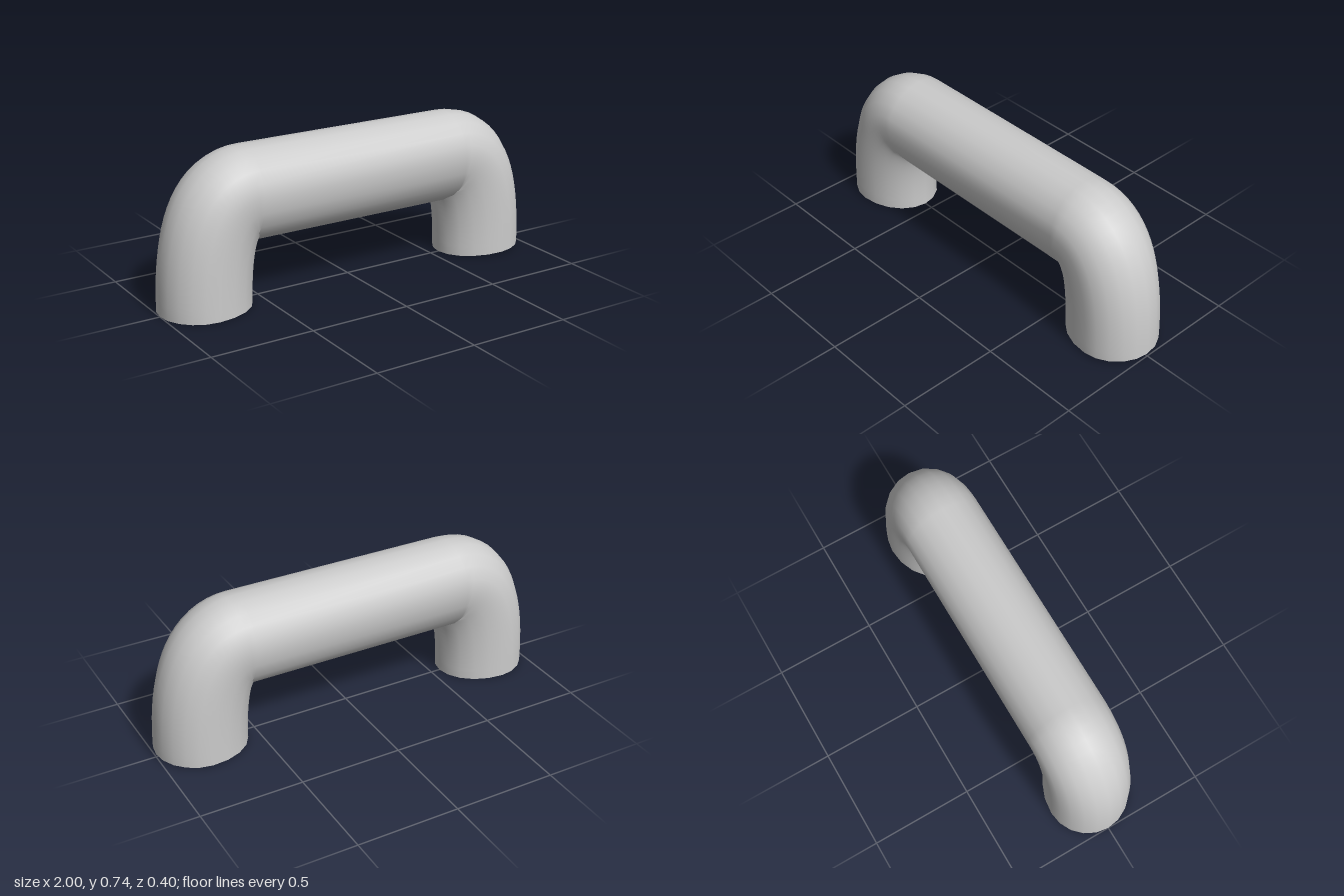
import * as THREE from 'three';

const SIDES = 20, STEPS = 18;
const HALF_WIDTH = 0.2, OUTER = 0.2, INNER = 0.252;

// Centre line: left-hand bend, straight bar, right-hand bend
function centreLine() {
  const v = (x, y) => new THREE.Vector2(x, y);
  const bends = [
    new THREE.QuadraticBezierCurve(v(-0.8, 0), v(-0.8, 0.537), v(-0.56, 0.537)),
    new THREE.QuadraticBezierCurve(v(0.56, 0.537), v(0.8, 0.537), v(0.8, 0)),
  ];
  const stations = [];
  for (const bend of bends) {
    for (let i = 0; i <= STEPS; i++) {
      stations.push({ p: bend.getPoint(i / STEPS), t: bend.getTangent(i / STEPS) });
    }
  }
  return stations;
}

// Sweep a slightly egg-shaped section along the centre line, open at both feet
function pipeGeometry() {
  const stations = centreLine();
  const positions = [], index = [];
  stations.forEach(({ p, t }, row) => {
    for (let j = 0; j < SIDES; j++) {
      const a = (j / SIDES) * Math.PI * 2;
      const c = Math.cos(a);
      const r = c * (c > 0 ? OUTER : INNER);
      const x = p.x - t.y * r;
      let y = p.y + t.x * r;
      // the right-hand foot is cut at a slight slope
      if (row === stations.length - 1) y += (x - 0.545) * 0.033;
      positions.push(x, y, HALF_WIDTH * Math.sin(a));
      if (row < stations.length - 1) {
        const k = row * SIDES + j, n = row * SIDES + (j + 1) % SIDES;
        index.push(k, n, k + SIDES, n, n + SIDES, k + SIDES);
      }
    }
  });
  const geometry = new THREE.BufferGeometry();
  geometry.setAttribute('position', new THREE.Float32BufferAttribute(positions, 3));
  geometry.setIndex(index);
  geometry.computeVertexNormals();
  return geometry;
}

export function createModel() {
  const group = new THREE.Group();
  group.name = 'handle';
  const material = new THREE.MeshStandardMaterial({ color: 0xcccccc, side: THREE.DoubleSide });
  const pipe = new THREE.Mesh(pipeGeometry(), material);
  pipe.name = 'bentPipe';
  group.add(pipe);
  return group;
}
